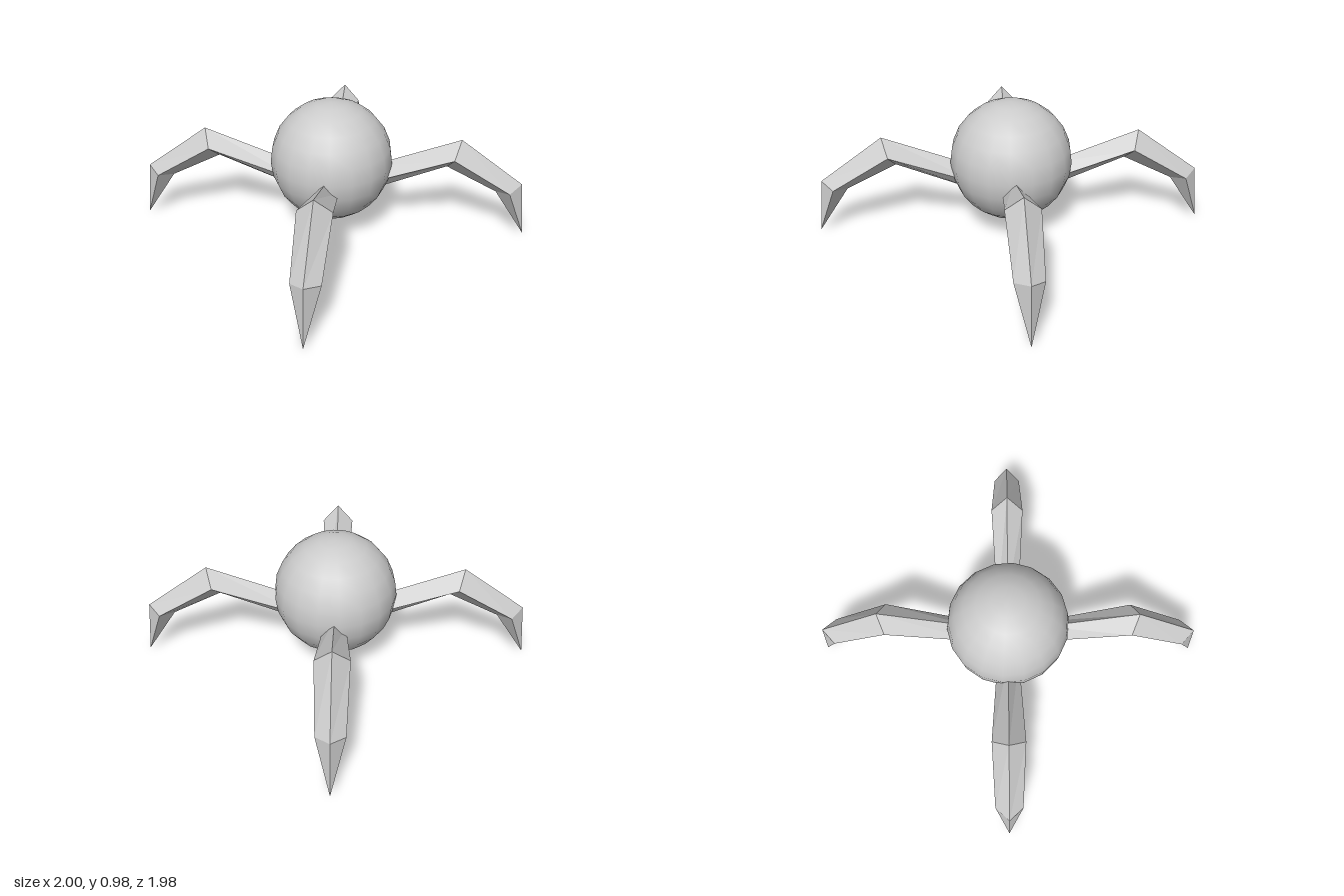
import * as THREE from 'three';

const grey = new THREE.MeshStandardMaterial({ color: 0xcccccc });
grey.name = 'grey';

// Diamond cross-sections from root to ankle, as [distance along x and z, height];
// "half" is the sideways half width measured the same way.
const sections = [
  { top: [0.18, 0.485], side: [0.15, 0.372], bottom: [0.15, 0.27], half: 0.055 },
  { top: [0.65, 0.733], side: [0.617, 0.622], bottom: [0.585, 0.52], half: 0.082 },
  { top: [0.967, 0.405], side: [0.903, 0.37], bottom: [0.84, 0.337], half: 0.068 },
];

// One leg pointing along +x: two diamond tubes and a pointed foot, flat shaded
function legGeometry() {
  const rings = sections.map(({ top, side, bottom, half }) => [
    [top[0], top[1], 0],
    [side[0], side[1], half],
    [bottom[0], bottom[1], 0],
    [side[0], side[1], -half],
  ]);
  const tip = [1, 0, 0];
  const positions = [];
  const tri = (...points) => points.forEach((p) => positions.push(p[0] * Math.SQRT2, p[1], p[2] * Math.SQRT2));

  for (let k = 0; k < 4; k++) {
    const n = (k + 1) % 4;
    for (let i = 0; i < rings.length - 1; i++) {
      tri(rings[i][k], rings[i][n], rings[i + 1][n]);
      tri(rings[i][k], rings[i + 1][n], rings[i + 1][k]);
    }
    tri(rings[2][k], rings[2][n], tip);
  }
  // Cap of the root, inside the body
  const [a, b, c, d] = rings[0];
  tri(a, c, b);
  tri(a, d, c);

  const geometry = new THREE.BufferGeometry();
  geometry.setAttribute('position', new THREE.Float32BufferAttribute(positions, 3));
  return geometry;
}

export function createModel() {
  const model = new THREE.Group();
  model.name = 'fourLeggedWalker';

  // Round body
  const body = new THREE.Mesh(new THREE.SphereGeometry(0.437, 18, 12).rotateY(Math.PI / 2), grey);
  body.name = 'body';
  body.position.y = 0.54;
  model.add(body);

  // Four legs on the diagonals
  ['backLeftLeg', 'backRightLeg', 'frontRightLeg', 'frontLeftLeg'].forEach((name, i) => {
    const geometry = legGeometry().rotateY(Math.PI / 4 + (i * Math.PI) / 2).scale(1, 1, 0.99);
    geometry.computeVertexNormals();
    const leg = new THREE.Mesh(geometry, grey);
    leg.name = name;
    model.add(leg);
  });

  return model;
}
